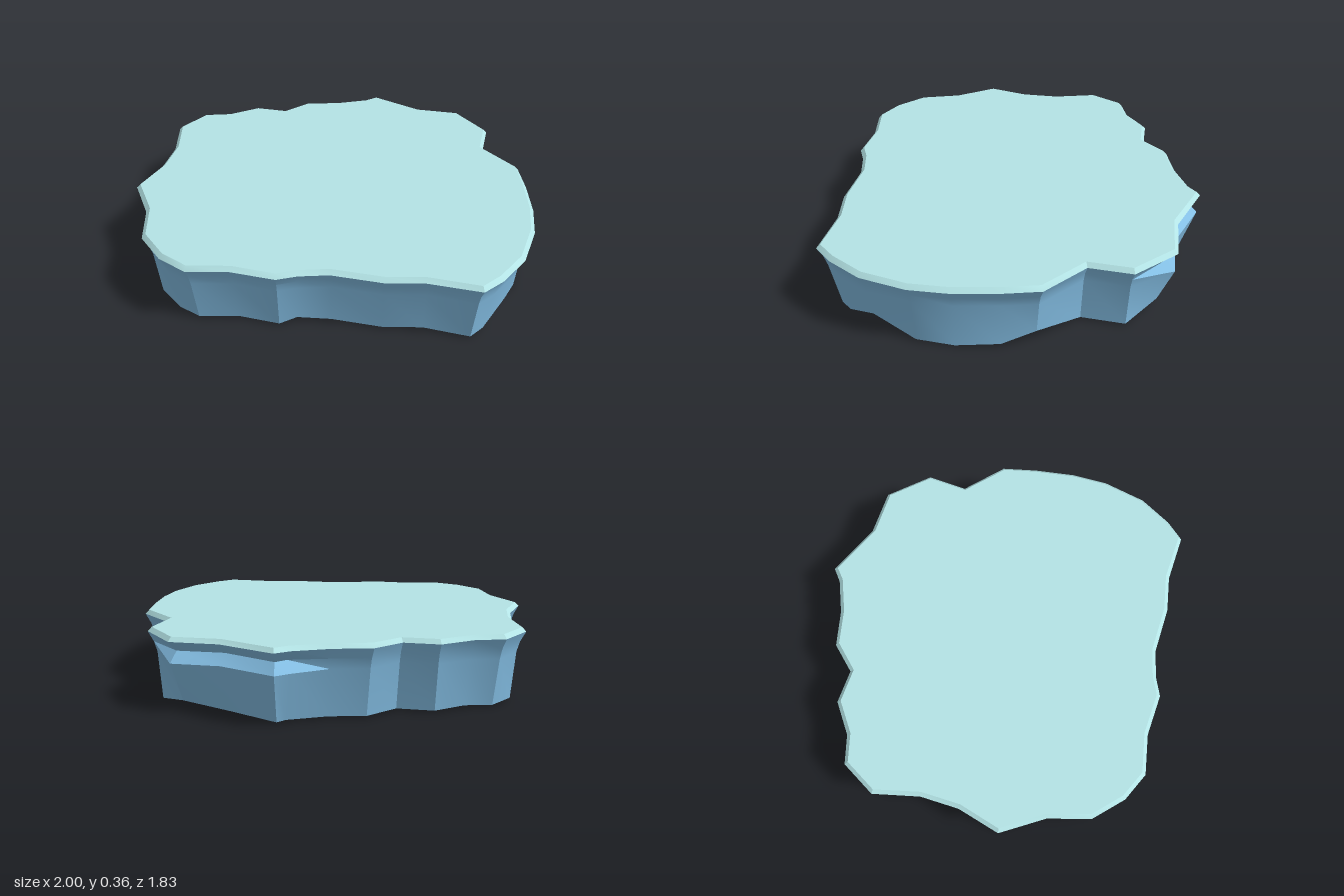
import * as THREE from 'three';
import { toCreasedNormals } from 'three/addons/utils/BufferGeometryUtils.js';

// Ragged slab outline [x, z], clockwise seen from above
const outline = [
  [0.26, -0.92], [0.51, -0.76], [0.74, -0.715], [0.88, -0.5], [0.83, -0.3], [0.985, -0.1],
  [0.995, 0.08], [0.99, 0.29], [0.96, 0.475], [0.875, 0.685], [0.755, 0.83], [0.66, 0.905],
  [0.42, 0.85], [0.235, 0.85], [0, 0.8], [-0.14, 0.81], [-0.235, 0.835], [-0.44, 0.785],
  [-0.64, 0.785], [-0.77, 0.695], [-0.88, 0.545], [-0.905, 0.33], [-1, 0.11], [-0.91, -0.09],
  [-0.875, -0.28], [-0.89, -0.515], [-0.765, -0.67], [-0.62, -0.685], [-0.46, -0.765],
  [-0.295, -0.73], [-0.165, -0.83], [0.02, -0.84], [0.19, -0.88],
].map(([x, z]) => new THREE.Vector2(x, z));
const N = outline.length;

// Outward direction at each corner
const normals = outline.map((p, i) => {
  const a = outline[(i + N - 1) % N], b = outline[(i + 1) % N];
  const d1 = p.clone().sub(a).normalize(), d2 = b.clone().sub(p).normalize();
  const t = d1.add(d2).normalize();
  return new THREE.Vector2(t.y, -t.x);
});

// One level of the slab: inset and height may vary per corner
function ring(inset, height) {
  return outline.map((p, i) => {
    const d = typeof inset === 'function' ? inset(i) : inset;
    const y = typeof height === 'function' ? height(i) : height;
    return new THREE.Vector3(p.x - normals[i].x * d, y, p.y - normals[i].y * d);
  });
}

// Skin between stacked rings, lowest first
function skin(rings, capTop, capBottom) {
  const pos = [];
  const tri = (...v) => v.forEach((p) => pos.push(p.x, p.y, p.z));
  for (let i = 0; i < N; i++) {
    const j = (i + 1) % N;
    for (let k = 0; k + 1 < rings.length; k++) {
      const lo = rings[k], up = rings[k + 1];
      tri(lo[i], up[i], up[j]);
      tri(lo[i], up[j], lo[j]);
    }
    if (capTop) {
      const r = rings[rings.length - 1];
      tri(new THREE.Vector3(0, r[0].y, 0), r[j], r[i]);
    }
    if (capBottom) {
      tri(new THREE.Vector3(0, 0.01, 0), rings[0][i], rings[0][j]);
    }
  }
  const g = new THREE.BufferGeometry();
  g.setAttribute('position', new THREE.Float32BufferAttribute(pos, 3));
  return toCreasedNormals(g, 0.45);
}

export function createModel() {
  const group = new THREE.Group();
  group.name = 'iceFloe';

  // Corners chipped upward along the lower edge, and the undercut ledge at the back
  const chips = { 2: 0.05, 5: 0.07, 7: 0, 9: 0.09, 10: 0.02, 15: 0.03 };
  const ledge = new Set([32, 0, 1, 2]);
  const bottomY = (i) => chips[i] ?? 0.01;
  const bottomInset = (i) => 0.05 + 0.03 * Math.abs(normals[i].y);

  // Tapering ice wall with a closed underside
  const underside = ring(bottomInset, 0.01).map((p) => p.multiply(new THREE.Vector3(0.82, 1, 0.82)));
  const body = skin([
    underside,
    ring(bottomInset, bottomY),
    ring((i) => (ledge.has(i) ? 0.005 : 0.04), 0.24),
    ring((i) => (ledge.has(i) ? 0.05 : 0.026), 0.29),
    ring(0, 0.34),
  ], false, true);
  const wall = new THREE.Mesh(body, new THREE.MeshStandardMaterial({ color: 0x85c0e6 }));
  wall.name = 'iceWall';
  group.add(wall);

  // Pale flat top with a bevelled rim
  const cap = new THREE.Mesh(
    skin([ring(0, 0.34), ring(0.02, 0.36)], true, false),
    new THREE.MeshStandardMaterial({ color: 0xb4e4e6 }),
  );
  cap.name = 'frostedTop';
  group.add(cap);
  return group;
}
